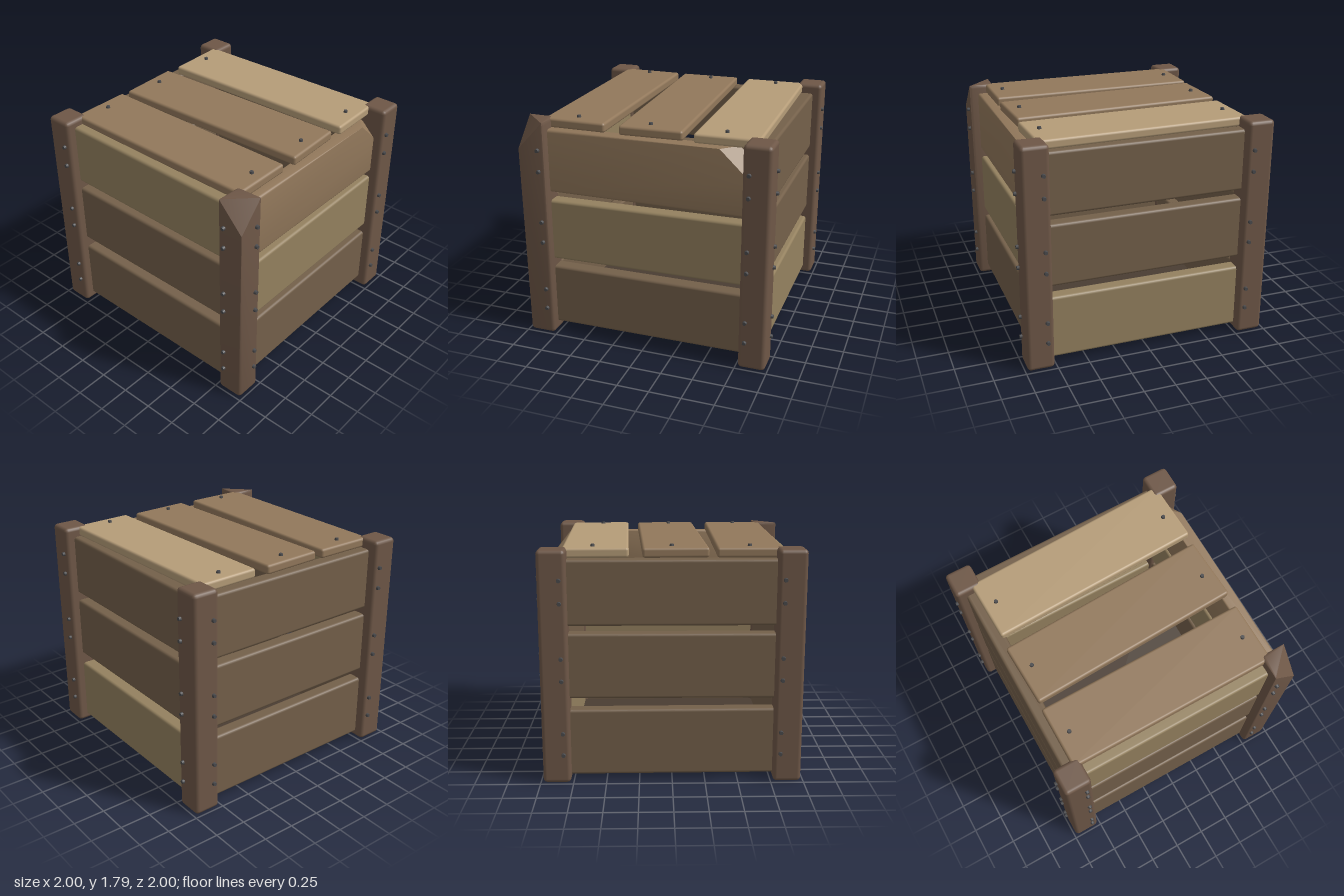
import * as THREE from 'three';
import { RoundedBoxGeometry } from 'three/addons/geometries/RoundedBoxGeometry.js';
import { ConvexGeometry } from 'three/addons/geometries/ConvexGeometry.js';
import { toCreasedNormals } from 'three/addons/utils/BufferGeometryUtils.js';

const paint = (color) => new THREE.MeshStandardMaterial({ color });
const postWood = paint(0x6e5747);
const darkWood = paint(0x74604a);
const brownWood = paint(0x92785b);
const greyWood = paint(0x94815f);
const paleWood = paint(0xb59c78);
const iron = paint(0x4a4a4c);
const inside = paint(0x4a3d32);

const POST = 0.212, POST_AT = 0.875, POST_H = 1.78;
const BOARD_L = 1.64, BOARD_T = 0.116, BOARD_AT = 0.848;

function part(name, geometry, material, x, y, z) {
  const mesh = new THREE.Mesh(geometry, material);
  mesh.name = name;
  mesh.position.set(x, y, z);
  return mesh;
}

// Rounded timber; a chip slices off whatever lies beyond the plane of its first three points
function timber(w, h, d, radius, chip) {
  const box = new RoundedBoxGeometry(w, h, d, 2, radius);
  if (!chip) return box;
  const corners = chip.map((p) => new THREE.Vector3(...p));
  const plane = new THREE.Plane().setFromCoplanarPoints(corners[0], corners[1], corners[2]);
  if (plane.constant > 0) plane.negate();
  const points = [...corners];
  const pos = box.attributes.position;
  for (let i = 0; i < pos.count; i++) {
    const v = new THREE.Vector3().fromBufferAttribute(pos, i);
    if (plane.distanceToPoint(v) < 0) points.push(v);
  }
  return toCreasedNormals(new ConvexGeometry(points), 0.55);
}

// Nail head, axis along +y
const nailGeometry = new THREE.CylinderGeometry(0.014, 0.019, 0.03, 10);

// Wall boards, bottom to top: [left bottom, left top, right bottom, right top, material]
const walls = [
  { name: 'frontWall', turn: 0, boards: [
    [0.05, 0.575, 0.045, 0.55, darkWood],
    [0.655, 1.165, 0.655, 1.15, darkWood],
    [1.23, 1.725, 1.21, 1.705, greyWood]] },
  { name: 'leftWall', turn: Math.PI / 2, boards: [
    [0.08, 0.575, 0.08, 0.59, darkWood],
    [0.645, 1.14, 0.66, 1.16, greyWood],
    [1.21, 1.71, 1.21, 1.71, brownWood]],
    // broken upper corner of the top board
    chip: [[0.58, 0.25, 0.058], [0.82, 0.02, 0.058], [0.7, 0.25, -0.058], [0.82, 0.135, -0.058]] },
  { name: 'backWall', turn: Math.PI, boards: [
    [0.05, 0.56, 0.05, 0.565, greyWood],
    [0.655, 1.15, 0.655, 1.155, darkWood],
    [1.22, 1.705, 1.22, 1.71, darkWood]] },
  { name: 'rightWall', turn: -Math.PI / 2, boards: [
    [0.045, 0.56, 0.045, 0.57, darkWood],
    [0.65, 1.155, 0.65, 1.15, darkWood],
    [1.21, 1.705, 1.21, 1.705, darkWood]] },
];

function buildWall({ name, turn, boards, chip }) {
  const wall = new THREE.Group();
  wall.name = name;
  boards.forEach(([lb, lt, rb, rt, wood], i) => {
    const height = (lt - lb + rt - rb) / 2;
    const geometry = timber(BOARD_L, height, BOARD_T, 0.022, i === 2 ? chip : null);
    const board = part('wallBoard', geometry, wood, 0, (lb + lt + rb + rt) / 4, BOARD_AT);
    board.rotation.z = Math.atan2((rb + rt - lb - lt) / 2, 1.54);
    wall.add(board);
  });
  // Pairs of nails through the posts at each board
  for (const x of [-0.82, 0.82]) {
    for (const y of [0.23, 0.4, 0.81, 0.98, 1.395, 1.565]) {
      const nail = part('wallNail', nailGeometry, iron, x, y, 0.985);
      nail.rotation.x = Math.PI / 2;
      wall.add(nail);
    }
  }
  wall.rotation.y = turn;
  return wall;
}

export function createModel() {
  const crate = new THREE.Group();
  crate.name = 'crate';

  // Corner posts, the front left one with a chipped top
  const postChip = [[-0.1, 0.885, 0.1], [0.1, 0.885, -0.1], [0.104, 0.67, 0.104]];
  for (const sx of [-1, 1]) {
    for (const sz of [-1, 1]) {
      const geometry = timber(POST, POST_H, POST, 0.03, sx > 0 && sz > 0 ? postChip : null);
      crate.add(part('cornerPost', geometry, postWood, sx * POST_AT, 0.005 + POST_H / 2, sz * POST_AT));
    }
  }

  walls.forEach((w) => crate.add(buildWall(w)));

  // Floor panel
  crate.add(part('floor', new THREE.BoxGeometry(1.6, 0.04, 1.6), inside, 0, 0.08, 0));

  // Lid planks, slightly askew, each held by two nails
  const planks = [[-0.587, 0.028, paleWood], [0, 0.037, brownWood], [0.58, 0, brownWood]];
  for (const [z, skew, wood] of planks) {
    const plank = part('lidPlank', timber(1.67, 0.075, 0.495, 0.02), wood, 0, 1.743, z);
    plank.rotation.y = skew;
    crate.add(plank);
    for (const x of [-0.735, 0.735]) {
      crate.add(part('lidNail', nailGeometry, iron, x, 1.782, z));
    }
  }
  return crate;
}
